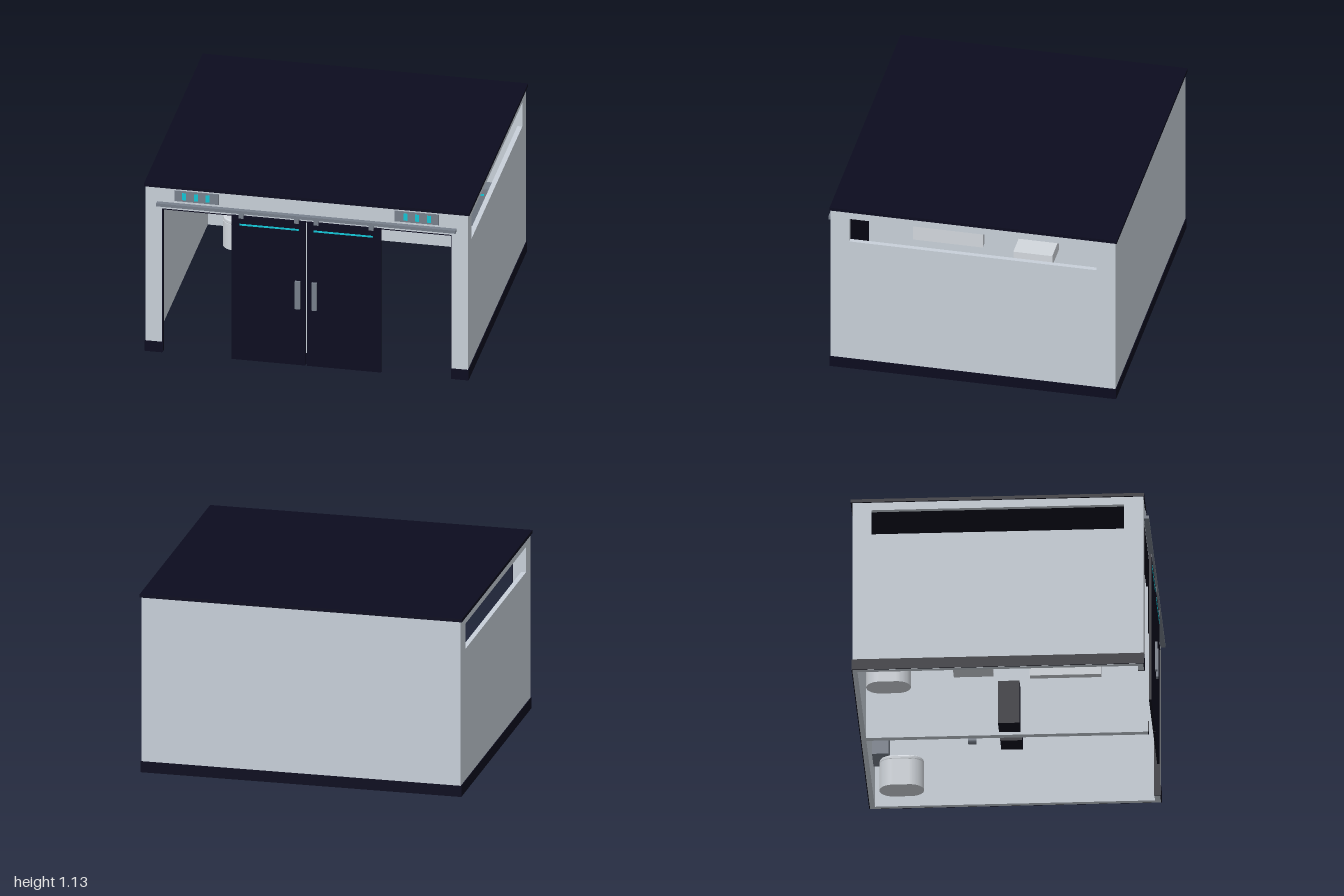
import * as THREE from 'three';

const mat = (name, color, side = THREE.FrontSide) => {
  const m = new THREE.MeshStandardMaterial({ color, side });
  m.name = name;
  return m;
};

export function createModel() {
  const model = new THREE.Group();
  model.name = 'restroomPavilion';
  const wall = mat('wallGrey', 0xc8d0d9);
  const dark = mat('darkNavy', 0x0c0c1f);
  const metal = mat('metalGrey', 0x78808c);
  const cyan = mat('cyanLight', 0x12c6d6);
  const ceramic = mat('ceramic', 0xd2d7dd);

  const add = (name, geo, material, x = 0, y = 0, z = 0) => {
    const m = new THREE.Mesh(geo, material);
    m.name = name;
    m.position.set(x, y, z);
    model.add(m);
    return m;
  };
  // box from its min and max corners; s = -1 mirrors it in x
  const box = (name, material, [x0, x1], [y0, y1], [z0, z1], s = 1) =>
    add(name, new THREE.BoxGeometry(x1 - x0, y1 - y0, z1 - z0), material,
      s * (x0 + x1) / 2, (y0 + y1) / 2, (z0 + z1) / 2);

  // shell
  box('roof', dark, [-1, 1], [1.11, 1.13], [-0.9, 0.87]);
  box('backWall', wall, [-0.99, 0.99], [0, 1.11], [-0.89, -0.86]);
  box('backBase', dark, [-0.995, 0.995], [0.001, 0.07], [-0.895, -0.889]);
  box('frontHeader', wall, [-0.89, 0.89], [0.97, 1.11], [0.83, 0.865]);
  box('headerTrim', dark, [-0.89, 0.89], [0.964, 0.97], [0.83, 0.866]);
  box('partition', wall, [-0.02, 0.02], [0, 1.11], [-0.86, 0.84]);
  box('partitionBase', dark, [-0.02, 0.02], [0.001, 0.07], [0.84, 0.846]);
  box('doorRail', metal, [-0.92, 0.92], [0.995, 1.015], [0.865, 0.895]);

  // side wall outline with the long high window
  const sideShape = new THREE.Shape([[-0.86, 0], [0.83, 0], [0.83, 1.11], [-0.86, 1.11]]
    .map(p => new THREE.Vector2(...p)));
  sideShape.holes.push(new THREE.Path([[-0.775, 0.9], [-0.775, 1.06], [0.75, 1.06], [0.75, 0.9]]
    .map(p => new THREE.Vector2(...p))));
  const sideGeo = new THREE.ExtrudeGeometry(sideShape, { depth: 0.03, bevelEnabled: false });
  sideGeo.rotateY(-Math.PI / 2);

  // rounded-end plan for the toilet bowl, extruded upwards
  const bowlGeo = (r, h, bevel) => {
    const p = new THREE.Shape();
    p.absarc(0, 0.05, r, Math.PI, 2 * Math.PI, false);
    p.absarc(0, 0.05, r, 0, 0, false);
    p.lineTo(r, 0.05);
    const q = new THREE.Shape();
    q.absarc(0, 0.05, r, 0, Math.PI, false);
    q.absarc(0, -0.05, r, Math.PI, 2 * Math.PI, false);
    const g = new THREE.ExtrudeGeometry(q, {
      depth: h, curveSegments: 16, bevelEnabled: bevel > 0,
      bevelSize: bevel, bevelThickness: bevel, bevelSegments: 3, bevelOffset: -bevel,
    });
    return g.rotateX(-Math.PI / 2);
  };

  for (const s of [-1, 1]) {
    // walls and jambs
    add('sideWall', sideGeo, wall, s > 0 ? 0.99 : -0.96);
    box('sideBase', dark, [0.989, 0.995], [0.001, 0.07], [-0.895, 0.87], s);
    box('frontJamb', wall, [0.89, 0.99], [0, 1.11], [0.83, 0.865], s);
    box('jambBase', dark, [0.89, 0.992], [0.001, 0.07], [0.864, 0.87], s);
    box('jambTrim', dark, [0.885, 0.89], [0, 0.97], [0.828, 0.866], s);

    // sliding door
    box('door', dark, [0.005, 0.46], [0.008, 0.975], [0.87, 0.885], s);
    box('doorLight', cyan, [0.045, 0.41], [0.914, 0.925], [0.885, 0.888], s);
    box('doorHandle', metal, [0.035, 0.067], [0.39, 0.575], [0.885, 0.9], s);
    for (const x of [0.06, 0.4])
      box('doorHanger', metal, [x - 0.015, x + 0.015], [0.96, 1.0], [0.868, 0.887], s);

    // sign panel with three lit bars
    box('signPanel', metal, [0.54, 0.812], [1.03, 1.1], [0.865, 0.871], s);
    for (const x of [0.608, 0.68, 0.753])
      box('signLight', cyan, [x - 0.012, x + 0.012], [1.042, 1.088], [0.871, 0.874], s);

    // toilet with cistern
    add('toiletBowl', bowlGeo(0.085, 0.172, 0), ceramic, s * 0.735, 0, -0.685);
    add('toiletLid', bowlGeo(0.083, 0.012, 0.008), ceramic, s * 0.735, 0.178, -0.685);
    box('cistern', metal, [0.645, 0.828], [0.205, 0.46], [-0.86, -0.76], s);
    box('cisternLight', cyan, [0.712, 0.757], [0.416, 0.428], [-0.76, -0.757], s);

    // grab rail on the back wall
    const rail = add('grabRail', new THREE.CylinderGeometry(0.009, 0.009, 0.35, 12), metal, s * 0.425, 0.4, -0.82);
    rail.rotation.z = Math.PI / 2;
    for (const x of [0.27, 0.58]) {
      const post = add('grabRailPost', new THREE.CylinderGeometry(0.012, 0.012, 0.04, 12), metal, s * x, 0.4, -0.84);
      post.rotation.x = Math.PI / 2;
    }

    // paper holder on the outer wall
    const roll = add('paperHolder', new THREE.CylinderGeometry(0.02, 0.02, 0.05, 12), metal, s * 0.935, 0.41, -0.27);
    roll.rotation.x = Math.PI / 2;

    // fittings along the partition
    box('washBasin', ceramic, [0.02, 0.21], [0.39, 0.46], [-0.33, -0.09], s);
    box('wasteBin', dark, [0.06, 0.19], [0, 0.28], [-0.055, 0.075], s);
    box('changingTable', ceramic, [0.02, 0.065], [0.37, 0.65], [0.13, 0.56], s);
    box('changingTableLight', cyan, [0.065, 0.068], [0.562, 0.574], [0.24, 0.46], s);
  }
  return model;
}
